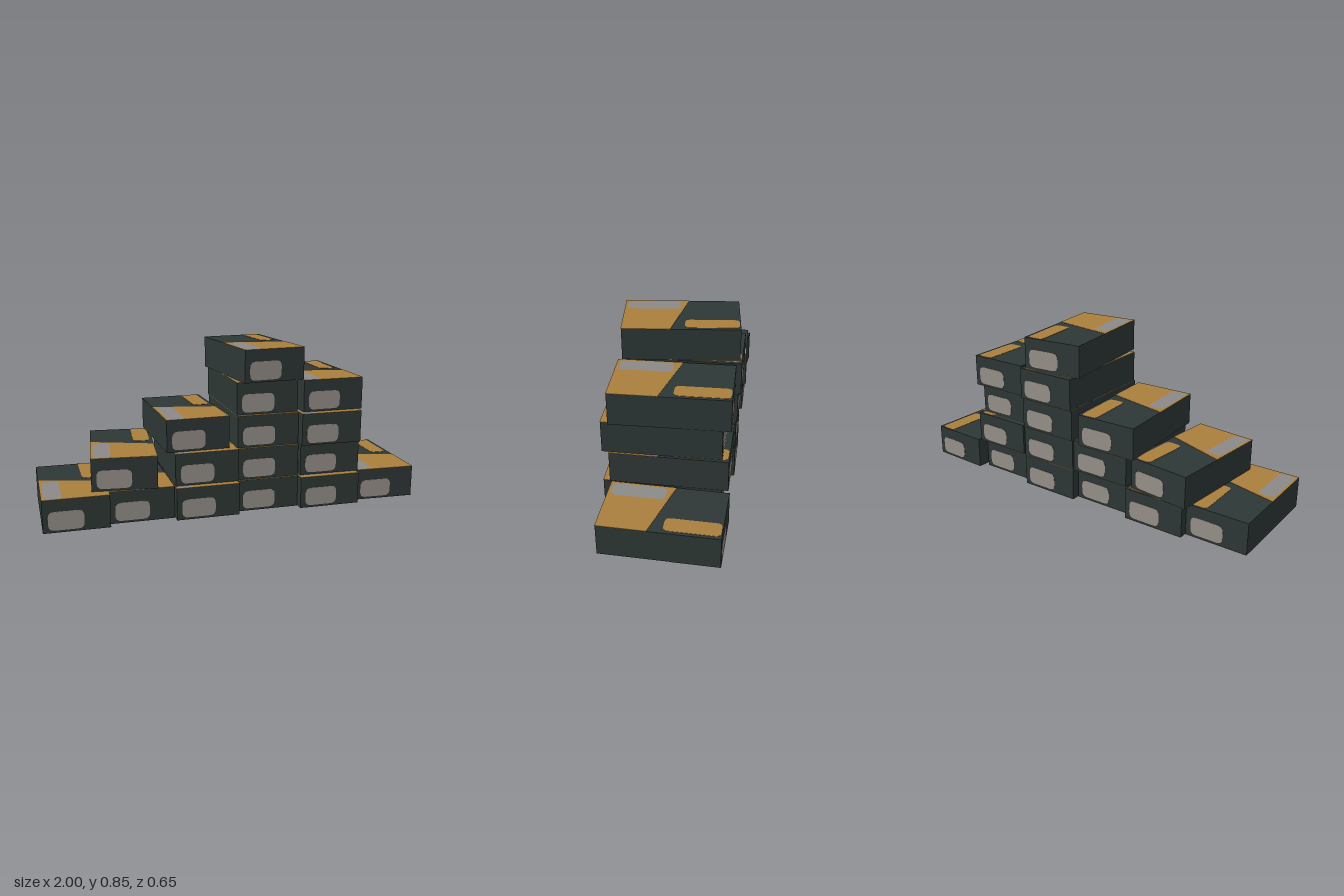
import * as THREE from 'three';

const W = 0.327, H = 0.169, D = 0.58, T = 0.0015;

const dark = new THREE.MeshStandardMaterial({ color: 0x2d3735 });
dark.name = 'darkCardboard';
const ochre = new THREE.MeshStandardMaterial({ color: 0xaa7f3d });
ochre.name = 'ochrePaint';
const grey = new THREE.MeshStandardMaterial({ color: 0x8b8a88 });
grey.name = 'greySticker';
const warm = new THREE.MeshStandardMaterial({ color: 0x968f89 });
warm.name = 'warmGreyLabel';

// Rounded rectangle outline, used for stickers and for the cut-out in the lid
function rounded(path, x0, y0, x1, y1, r) {
  path.moveTo(x0 + r, y0);
  path.lineTo(x1 - r, y0);
  path.quadraticCurveTo(x1, y0, x1, y0 + r);
  path.lineTo(x1, y1 - r);
  path.quadraticCurveTo(x1, y1, x1 - r, y1);
  path.lineTo(x0 + r, y1);
  path.quadraticCurveTo(x0, y1, x0, y1 - r);
  path.lineTo(x0, y0 + r);
  path.quadraticCurveTo(x0, y0, x0 + r, y0);
  return path;
}

const plate = (shape) =>
  new THREE.ExtrudeGeometry(shape, { depth: T, bevelEnabled: false, curveSegments: 4 });

// Lid pattern: slanted ochre half with a grey inlay, ochre patch on the dark half
const greyRect = [-0.151, -0.275, -0.065, -0.01, 0.025];
const half = new THREE.Shape([
  new THREE.Vector2(-W / 2, -D / 2),
  new THREE.Vector2(W / 2, -D / 2),
  new THREE.Vector2(W / 2, -0.052),
  new THREE.Vector2(-W / 2, 0.032),
]);
half.holes.push(rounded(new THREE.Path(), ...greyRect));

const bodyGeo = new THREE.BoxGeometry(W, H - 2 * T, D - 2 * T);
const halfGeo = plate(half);
const inlayGeo = plate(rounded(new THREE.Shape(), ...greyRect));
const patchGeo = plate(rounded(new THREE.Shape(), 0.06, 0.018, 0.147, 0.283, 0.025));
const labelGeo = plate(rounded(new THREE.Shape(), -0.137, 0.013 - H / 2, 0.036, 0.108 - H / 2, 0.03));

function add(parent, name, geometry, material) {
  const mesh = new THREE.Mesh(geometry, material);
  mesh.name = name;
  parent.add(mesh);
  return mesh;
}

function makeCarton() {
  const carton = new THREE.Group();
  carton.name = 'carton';
  add(carton, 'cartonBody', bodyGeo, dark);
  // Painted lid and base
  for (const side of [1, -1]) {
    const face = new THREE.Group();
    face.name = side > 0 ? 'lidPattern' : 'basePattern';
    face.rotation.x = -side * Math.PI / 2;
    face.position.y = side * (H / 2 - T);
    add(face, 'ochreHalf', halfGeo, ochre);
    add(face, 'greyInlay', inlayGeo, grey);
    add(face, 'ochrePatch', patchGeo, ochre);
    carton.add(face);
  }
  // End labels
  for (const side of [1, -1]) {
    const label = add(carton, side > 0 ? 'frontLabel' : 'backLabel', labelGeo, warm);
    label.rotation.y = side > 0 ? 0 : Math.PI;
    label.position.z = side * (D / 2 - T);
  }
  return carton;
}

// Each row of the stack, bottom first: [x, z, turn in degrees]
const rows = [
  [[-0.836, 0.032, 0], [-0.508, -0.01, 0], [-0.178, 0.032, 0],
   [0.152, -0.01, 0], [0.482, 0.032, 0], [0.826, -0.005, -2]],
  [[-0.562, -0.012, -6], [-0.176, 0, 0], [0.152, -0.01, 0], [0.493, -0.003, -0.5]],
  [[-0.223, -0.03, 2], [0.152, -0.015, 0], [0.483, 0.032, 0]],
  [[0.15, -0.028, 0], [0.497, -0.005, 0.9]],
  [[0.15, -0.003, 5.8]],
];

export function createModel() {
  const model = new THREE.Group();
  model.name = 'cartonStack';
  rows.forEach((row, level) => {
    for (const [x, z, turn] of row) {
      const carton = makeCarton();
      carton.position.set(x, (level + 0.5) * H, z);
      carton.rotation.y = THREE.MathUtils.degToRad(turn);
      model.add(carton);
    }
  });
  return model;
}
